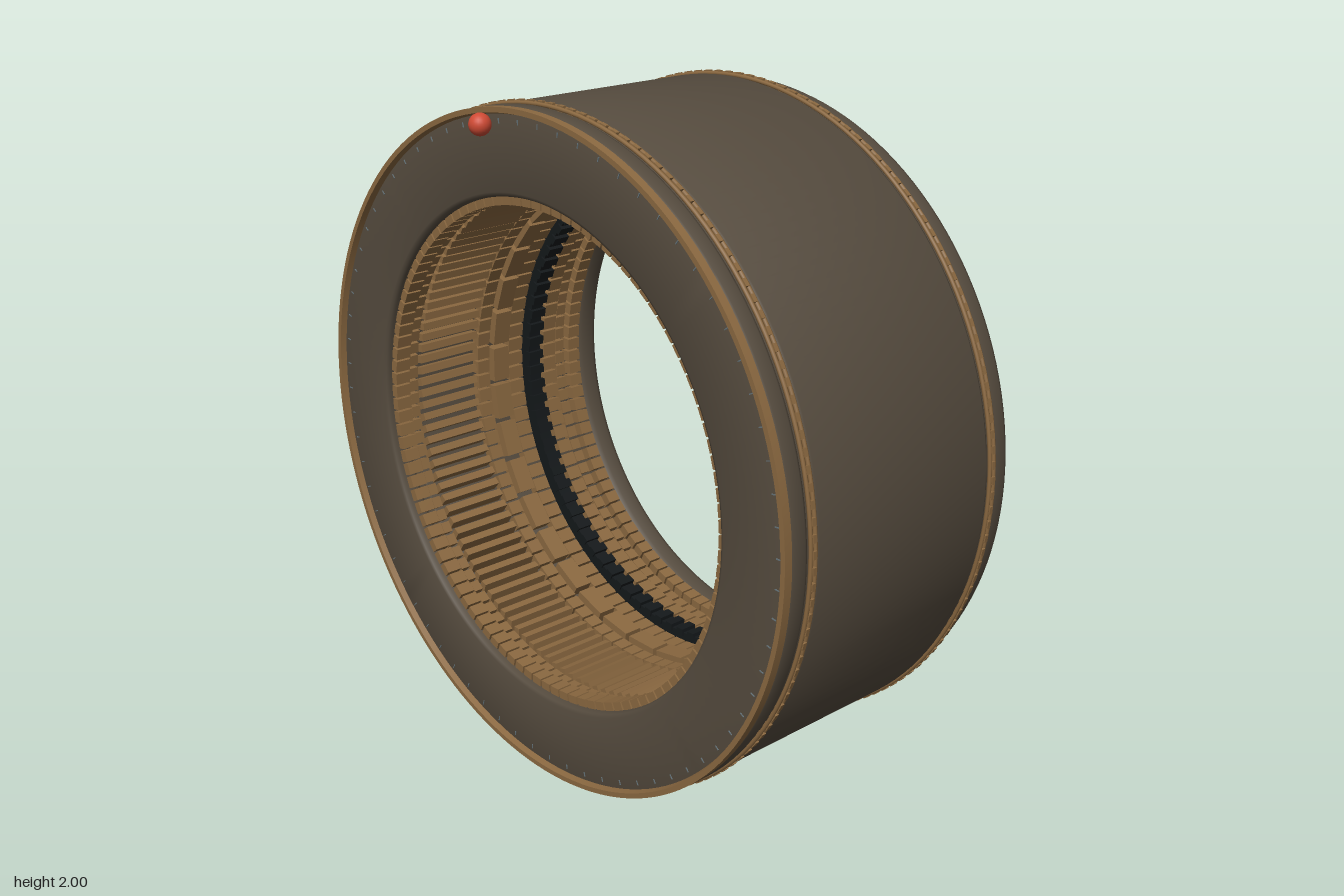
import * as THREE from 'three';
import { mergeGeometries, toCreasedNormals } from 'three/addons/utils/BufferGeometryUtils.js';

const mat = (color) => new THREE.MeshStandardMaterial({ color });
const DARK = mat(0x554b3e), COPPER = mat(0x8a6840), BLACK = mat(0x14181a), RED = mat(0xcf4a34), STEEL = mat(0x66747a);

// Ring about the z axis, spun from a closed counter-clockwise outline of [radius, z]
function spun(name, outline, material, creases = 0.5) {
  const pts = [...outline, outline[0]].map(([r, z]) => new THREE.Vector2(r, z));
  const geo = new THREE.LatheGeometry(pts, 144).rotateX(Math.PI / 2);
  const mesh = new THREE.Mesh(toCreasedNormals(geo, creases), material);
  mesh.name = name;
  return mesh;
}

// Ring with bevelled edges
function bevelRing(name, rIn, rOut, z0, z1, b, material) {
  const c = 0.3 * b;
  return spun(name, [
    [rIn + b, z0], [rOut - b, z0], [rOut - c, z0 + c], [rOut, z0 + b],
    [rOut, z1 - b], [rOut - c, z1 - c], [rOut - b, z1], [rIn + b, z1],
    [rIn + c, z1 - c], [rIn, z1 - b], [rIn, z0 + b], [rIn + c, z0 + c],
  ], material, 0.9);
}

// Boxes repeated around the z axis, merged into one mesh
function boxRow(name, count, rIn, rOut, z0, z1, width, material, tilt = 0, phase = 0) {
  const parts = [];
  for (let i = 0; i < count; i++) {
    parts.push(new THREE.BoxGeometry(rOut - rIn, width, z1 - z0)
      .rotateZ(tilt)
      .translate((rIn + rOut) / 2, 0, (z0 + z1) / 2)
      .rotateZ(((i + phase) / count) * Math.PI * 2));
  }
  const mesh = new THREE.Mesh(mergeGeometries(parts), material);
  mesh.name = name;
  return mesh;
}

// Width of one box when a row of count boxes fills a share of the circle
const share = (count, r, fill) => ((2 * Math.PI * r) / count) * fill;

function torus(name, radius, tube, z, material) {
  const mesh = new THREE.Mesh(new THREE.TorusGeometry(radius, tube, 8, 144), material);
  mesh.position.z = z;
  mesh.name = name;
  return mesh;
}

export function createModel() {
  const model = new THREE.Group();
  model.name = 'ringHabitat';
  const ring = new THREE.Group();
  ring.name = 'ring';
  ring.position.y = 1;
  model.add(ring);

  // Outer shell sections
  ring.add(
    bevelRing('mainShell', 0.765, 0.99, -0.415, 0.255, 0.012, DARK),
    bevelRing('frontShell', 0.745, 0.99, 0.28, 0.347, 0.014, DARK),
    bevelRing('rearShell', 0.76, 0.975, -0.522, -0.44, 0.02, DARK),
    spun('frontRim', [[0.968, 0.34], [0.99, 0.34], [0.99, 0.365], [0.975, 0.365]], COPPER),
  );

  // Seams: a dark core between two copper hoops, with small copper cleats
  for (const z of [0.267, -0.428]) {
    ring.add(
      spun('seamCore', [[0.765, z - 0.016], [0.982, z - 0.016], [0.982, z + 0.016], [0.765, z + 0.016]], DARK),
      torus('seamHoop', 0.99, 0.006, z - 0.008, COPPER),
      torus('seamHoop', 0.99, 0.006, z + 0.008, COPPER),
      boxRow('seamCleats', 144, 0.98, 0.9985, z - 0.006, z + 0.006, 0.022, COPPER),
    );
  }

  // Rear studs and fine front ticks
  ring.add(
    boxRow('rearStuds', 32, 0.862, 0.942, -0.53, -0.515, 0.025, COPPER),
    boxRow('frontTicks', 72, 0.944, 0.958, 0.342, 0.349, 0.003, STEEL, 0, 0.5),
  );

  // Rows of tiles lining the bore: [name, count, inner radius, z0, z1, fill, tilt]
  const rows = [
    ['frontTiles', 108, 0.72, 0.275, 0.325, 0.85, 0],
    ['frontStrip', 108, 0.735, 0.235, 0.265, 0.8, 0],
    ['longSlats', 120, 0.73, 0.01, 0.225, 0.6, 0.3],
    ['innerTiles', 96, 0.735, -0.045, 0.0, 0.85, 0],
    ['largeBlocks', 36, 0.722, -0.115, -0.055, 0.88, 0],
    ['middleTiles', 96, 0.735, -0.18, -0.125, 0.85, 0],
    ['rearTiles', 96, 0.73, -0.315, -0.265, 0.85, 0],
    ['rearStrip', 108, 0.74, -0.36, -0.325, 0.8, 0],
    ['endTiles', 108, 0.725, -0.415, -0.37, 0.85, 0],
  ];
  for (const [name, count, r, z0, z1, fill, tilt] of rows) {
    ring.add(boxRow(name, count, r, 0.775, z0, z1, share(count, r, fill), COPPER, tilt));
  }

  // Black toothed track
  ring.add(
    spun('track', [[0.724, -0.245], [0.775, -0.245], [0.775, -0.2], [0.724, -0.2]], BLACK),
    boxRow('trackTeeth', 90, 0.712, 0.735, -0.25, -0.195, share(90, 0.72, 0.55), BLACK),
  );

  // Small beacon floating ahead of the top of the rim
  const beacon = new THREE.Mesh(new THREE.SphereGeometry(0.03, 24, 16), RED);
  beacon.name = 'beacon';
  beacon.position.set(0, 1.972, 0.5);
  model.add(beacon);

  return model;
}
